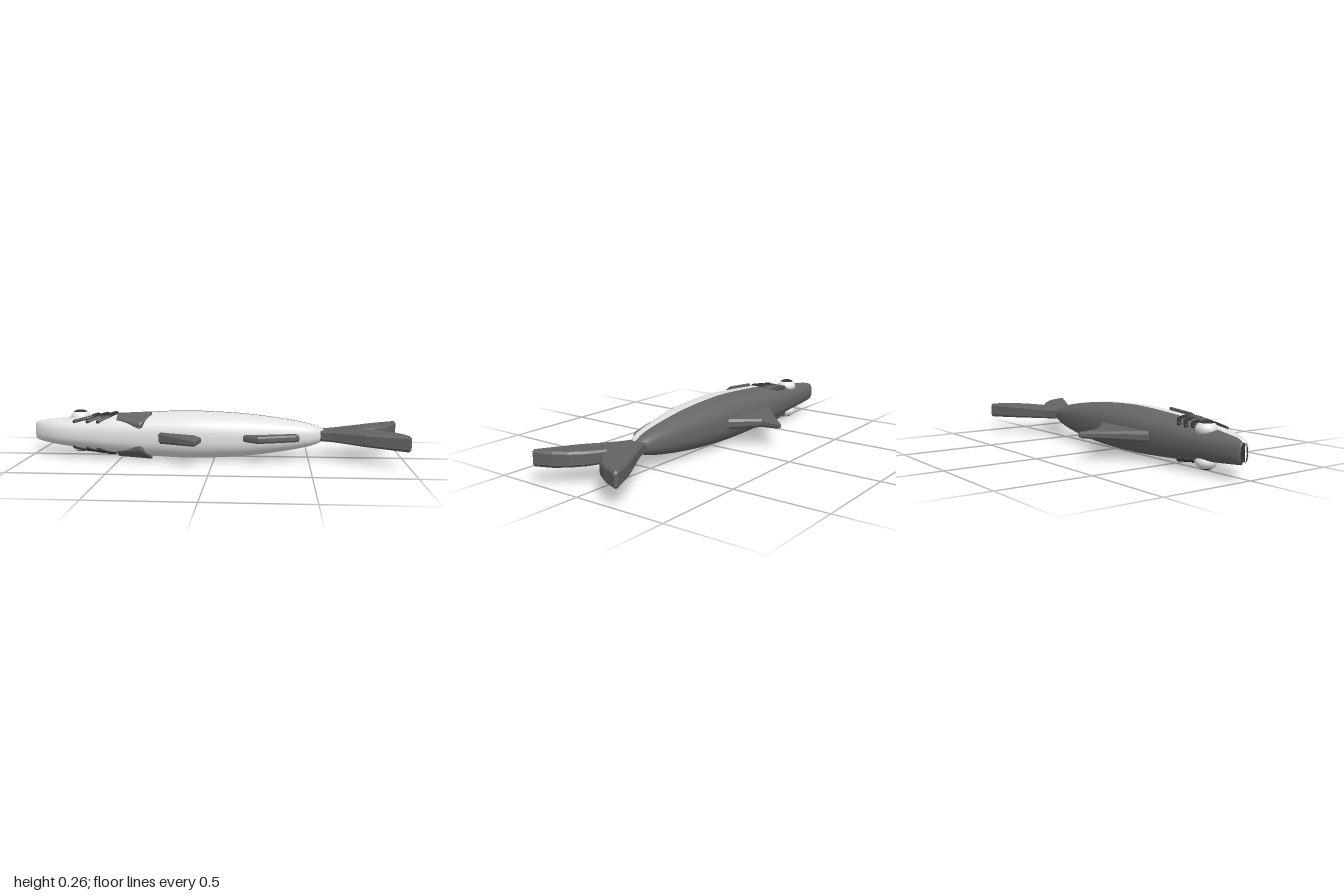
import * as THREE from 'three';

const MID = 0.13; // height of the body's centre plane
const POWER = 2.5; // fullness of the cross-section

const paint = (name, color) => Object.assign(new THREE.MeshStandardMaterial({ color }), { name });

// Stations along the body: x, back edge z, colour split z, belly edge z, half thickness
const STATIONS = [
  [-1, -0.065, -0.042, -0.02, 0.045], [-0.985, -0.072, -0.036, 0, 0.053],
  [-0.94, -0.08, -0.027, 0.04, 0.061], [-0.85, -0.09, -0.015, 0.095, 0.071],
  [-0.7, -0.1, 0.01, 0.14, 0.085], [-0.5, -0.11, 0.028, 0.175, 0.105],
  [-0.2, -0.11, 0.035, 0.197, 0.122], [0, -0.105, 0.035, 0.193, 0.12],
  [0.2, -0.09, 0.032, 0.17, 0.107], [0.4, -0.065, 0.028, 0.125, 0.08],
  [0.52, -0.04, 0.025, 0.092, 0.055], [0.58, -0.02, 0.022, 0.055, 0.03],
];
const spline = (a, b) => new THREE.CatmullRomCurve3(
  STATIONS.map(s => new THREE.Vector3(s[0], s[a], s[b])), false, 'catmullrom', 0.5);
const edges = spline(1, 3), middle = spline(2, 4);

function section(t) {
  const e = edges.getPoint(t), m = middle.getPoint(t);
  return { x: e.x, c: (e.y + e.z) / 2, hz: (e.z - e.y) / 2, split: m.y, hy: m.z };
}

// Half thickness of the body at a given x and z
function surface(x, z) {
  let lo = 0, hi = 1;
  for (let i = 0; i < 30; i++) {
    const t = (lo + hi) / 2;
    if (edges.getPoint(t).x < x) lo = t; else hi = t;
  }
  const s = section(lo);
  const u = Math.min(1, Math.abs((z - s.c) / s.hz));
  return s.hy * (1 - u ** POWER) ** (1 / POWER);
}

// Loft of one colour of the body; material group 1 is the snout end
function bodyHalf(isBack) {
  const rows = 66, cols = 20, pos = [], index = [];
  const power = v => Math.sign(v) * Math.abs(v) ** (2 / POWER);
  for (let i = 0; i <= rows; i++) {
    const s = section(i / rows);
    const gap = Math.max(0, (-0.94 - s.x) / 0.06) * 0.009; // open mouth
    const u = (s.split + (isBack ? -gap : gap) - s.c) / s.hz;
    const a = Math.acos(THREE.MathUtils.clamp(Math.sign(u) * Math.abs(u) ** (POWER / 2), -1, 1));
    const [from, to] = isBack ? [a, 2 * Math.PI - a] : [-a, a];
    for (let j = 0; j <= cols; j++) {
      const b = from + (to - from) * j / cols;
      pos.push(s.x, s.hy * power(Math.sin(b)), s.c + s.hz * power(Math.cos(b)));
      if (i < rows && j < cols) {
        const k = i * (cols + 1) + j, n = k + cols + 1;
        index.push(k, n, k + 1, n, n + 1, k + 1);
      }
    }
  }
  const cap = (row, flip) => {
    const base = pos.length / 3, ring = pos.slice(row * (cols + 1) * 3, (row + 1) * (cols + 1) * 3);
    const z = (ring[2] + ring[(cols >> 1) * 3 + 2]) / 2;
    pos.push(...ring, ring[0], 0, z);
    const centre = base + cols + 1;
    for (let j = 0; j < cols; j++) {
      index.push(centre, base + j + (flip ? 1 : 0), base + j + (flip ? 0 : 1));
    }
  };
  cap(rows, true);
  const sideCount = index.length;
  cap(0, false);
  const geo = new THREE.BufferGeometry();
  geo.setAttribute('position', new THREE.Float32BufferAttribute(pos, 3));
  geo.setIndex(index);
  geo.addGroup(0, sideCount, 0);
  geo.addGroup(sideCount, index.length - sideCount, 1);
  geo.computeVertexNormals();
  return geo;
}

// Bevelled plate from an outline in x and z; rule moves its height
function plate(outline, thickness, bevel, rule) {
  const shape = new THREE.Shape(outline.map(p => new THREE.Vector2(...p)));
  const depth = thickness - 2 * bevel;
  const geo = new THREE.ExtrudeGeometry(shape, {
    depth, bevelThickness: bevel, bevelSize: bevel * 0.7, bevelOffset: -bevel * 0.7, bevelSegments: 1,
  });
  geo.translate(0, 0, -depth / 2).rotateX(Math.PI / 2);
  const p = geo.attributes.position;
  for (let i = 0; i < p.count; i++) p.setY(i, rule(p.getX(i), p.getY(i), p.getZ(i)));
  geo.computeVertexNormals();
  return geo;
}

export function createModel() {
  const model = new THREE.Group();
  model.name = 'fish';
  const back = paint('back grey', 0x666666), fin = paint('fin grey', 0x636363);
  const belly = paint('belly white', 0xe2e2e2), eyeWhite = paint('eye white', 0xeeeeee);
  const dark = paint('dark grey', 0x333333);
  const add = (name, geo, mat) => {
    const mesh = new THREE.Mesh(geo, mat);
    mesh.name = name;
    mesh.position.y = MID;
    model.add(mesh);
    return mesh;
  };

  // Body and mouth
  add('back', bodyHalf(true), [back, dark]);
  add('belly', bodyHalf(false), [belly, dark]);
  add('mouth', new THREE.BoxGeometry(0.055, 0.085, 0.024).translate(-0.96, 0, -0.037), dark);

  // Fins on the centre line
  add('tailFin', plate([
    [0.55, -0.02], [0.63, -0.055], [0.75, -0.125], [0.86, -0.19], [0.985, -0.243], [1, -0.233],
    [0.965, -0.14], [0.92, -0.07], [0.86, -0.02], [0.78, 0.025], [0.86, 0.07], [0.92, 0.125],
    [0.965, 0.19], [1, 0.28], [0.985, 0.296], [0.88, 0.245], [0.78, 0.195], [0.7, 0.14], [0.62, 0.09], [0.55, 0.06],
  ], 0.08, 0.012, (x, y) => y * THREE.MathUtils.mapLinear(x, 0.55, 1, 0.66, 1.02)), fin);
  add('dorsalFin', plate([
    [-0.46, -0.08], [-0.42, -0.115], [-0.3, -0.215], [-0.165, -0.347], [-0.15, -0.342],
    [-0.148, -0.235], [-0.09, -0.175], [-0.01, -0.1], [-0.02, -0.07],
  ], 0.055, 0.014, (x, y, z) => y * THREE.MathUtils.mapLinear(z, -0.1, -0.35, 1.1, 0.55)), fin);
  add('ventralFin', plate([
    [-0.3, 0.17], [-0.28, 0.197], [-0.085, 0.342], [-0.072, 0.335], [-0.055, 0.24], [-0.1, 0.18],
  ], 0.055, 0.012, (x, y) => y * THREE.MathUtils.mapLinear(x, -0.28, -0.05, 1.1, 0.55)), fin);
  add('analFin', plate([
    [0.14, 0.15], [0.15, 0.172], [0.235, 0.235], [0.43, 0.168], [0.45, 0.153], [0.43, 0.1],
  ], 0.036, 0.009, (x, y) => y), fin);

  // Paired parts on both flanks
  const gills = [
    [[-0.68, -0.05], [-0.645, -0.02], [-0.636, 0.025], [-0.67, 0.075], [-0.75, 0.094]],
    [[-0.64, -0.06], [-0.597, -0.025], [-0.585, 0.03], [-0.612, 0.085], [-0.675, 0.113]],
    [[-0.59, -0.06], [-0.547, -0.02], [-0.537, 0.035], [-0.56, 0.09], [-0.615, 0.128]],
  ];
  for (const side of [1, -1]) {
    const label = side > 0 ? 'Upper' : 'Lower';

    add('pectoralFin' + label, plate(
      [[-0.515, 0.087], [-0.33, 0.1], [-0.335, 0.115], [-0.37, 0.18], [-0.385, 0.185], [-0.515, 0.132]],
      0.03, 0.006, (x, y, z) => y + side * (0.115 + 0.1 * (x + 0.33) - 0.6 * (z - 0.1))), fin);

    gills.forEach((points, i) => {
      const path = new THREE.CatmullRomCurve3(
        points.map(([x, z]) => new THREE.Vector3(x, side * (surface(x, z) + 0.002), z)));
      add('gillSlit' + label + (i + 1), new THREE.TubeGeometry(path, 20, 0.011, 6), dark);
      for (const end of [0, 1]) {
        const p = path.getPoint(end);
        add('gillTip' + label + (i + 1), new THREE.SphereGeometry(0.011, 8, 6).translate(p.x, p.y, p.z), dark);
      }
    });

    // Domed eye with a dark pupil cap
    const eye = new THREE.Group();
    eye.name = 'eye' + label;
    const ball = new THREE.Mesh(new THREE.SphereGeometry(0.053, 24, 16), eyeWhite);
    ball.name = 'eyeball';
    const pupil = new THREE.Mesh(new THREE.SphereGeometry(0.0555, 24, 8, 0, Math.PI * 2, 0, 0.73), dark);
    pupil.name = 'pupil';
    eye.add(ball, pupil);
    eye.scale.y = 0.7;
    eye.position.set(-0.747, MID + side * surface(-0.747, -0.03), -0.03);
    if (side < 0) eye.rotation.x = Math.PI;
    model.add(eye);
  }
  return model;
}
